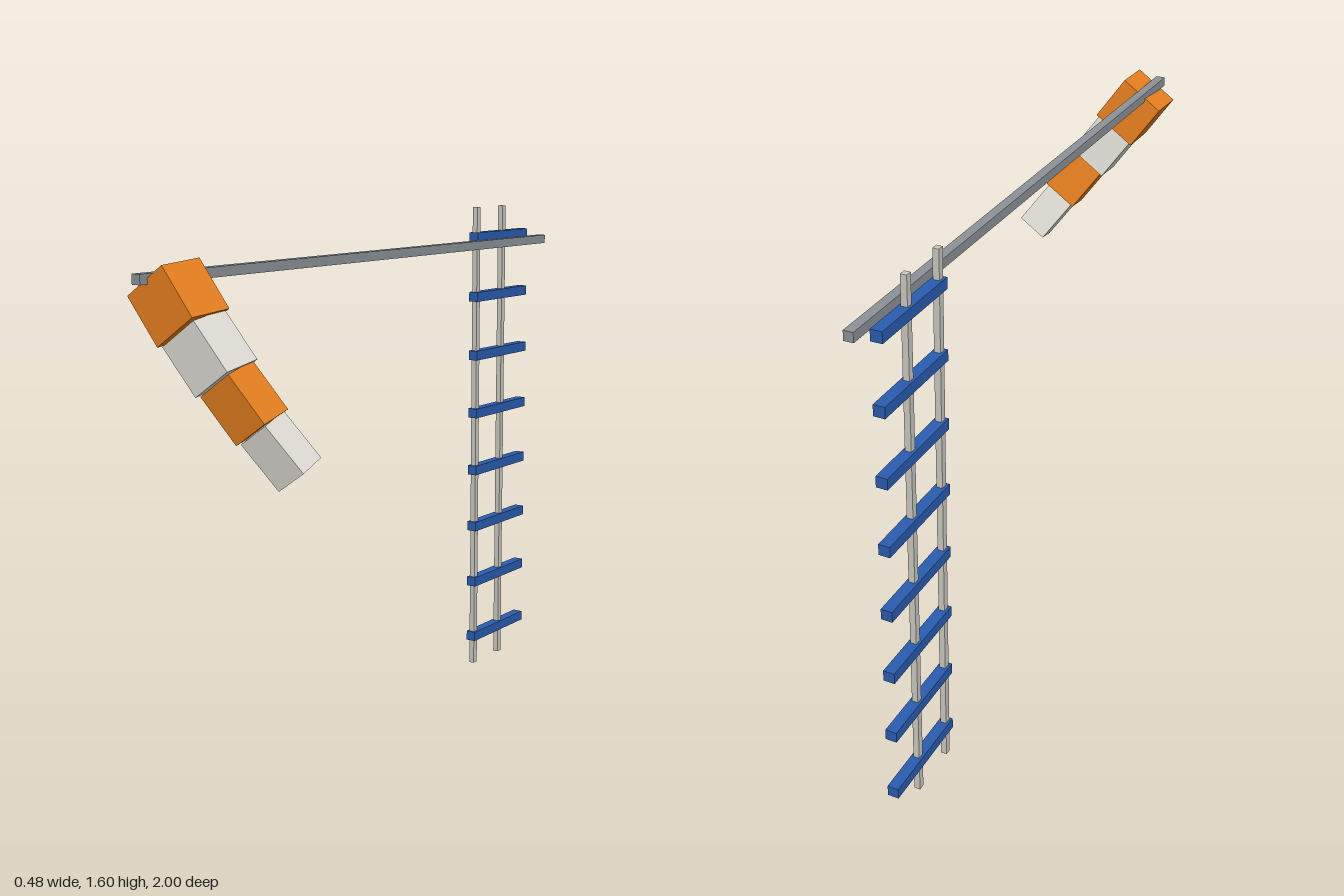
import * as THREE from 'three';

const paint = (color) => new THREE.MeshStandardMaterial({ color, flatShading: true });
const ORANGE = paint(0xe8801f), WHITE = paint(0xe2e0d8);
const BLUE = paint(0x2a5cb0), RAIL = paint(0xcac8c0), STEEL = paint(0x8c9298);

function box(name, size, position, material) {
  const mesh = new THREE.Mesh(new THREE.BoxGeometry(...size), material);
  mesh.name = name;
  mesh.position.set(...position);
  return mesh;
}

export function createModel() {
  const model = new THREE.Group();
  model.name = 'windsockAndLadder';

  // Long horizontal pole
  model.add(box('pole', [0.028, 0.028, 2], [-0.152, 1.482, 0], STEEL));

  // Ladder: two rails and evenly spaced rungs
  const ladder = new THREE.Group();
  ladder.name = 'ladder';
  const ladderX = -0.227;
  for (const z of [-0.697, -0.857]) {
    ladder.add(box('ladderRail', [0.018, 1.6, 0.02], [ladderX, 0.8, z], RAIL));
  }
  for (let i = 0; i < 8; i++) {
    ladder.add(box('ladderRung', [0.033, 0.032, 0.32], [ladderX, 0.1 + i * 0.2, -0.84], BLUE));
  }
  model.add(ladder);

  // Windsock: tapering boxes chained end to end, each bending further back
  const sock = new THREE.Group();
  sock.name = 'windsock';
  sock.position.set(-0.152, 1.482, 0.9);
  sock.rotation.z = THREE.MathUtils.degToRad(34.5);
  const length = 0.154;
  let y = 0, z = 0;
  for (let i = 0; i < 4; i++) {
    const tilt = THREE.MathUtils.degToRad(4.5 * (i + 1));
    const size = 0.148 - i * 0.0163;
    const dy = -Math.cos(tilt) * length, dz = -Math.sin(tilt) * length;
    const segment = box('windsockSegment', [size, length, size],
      [0, y + dy / 2, z + dz / 2], i % 2 ? WHITE : ORANGE);
    segment.rotation.x = tilt;
    sock.add(segment);
    y += dy;
    z += dz;
  }
  model.add(sock);

  return model;
}
